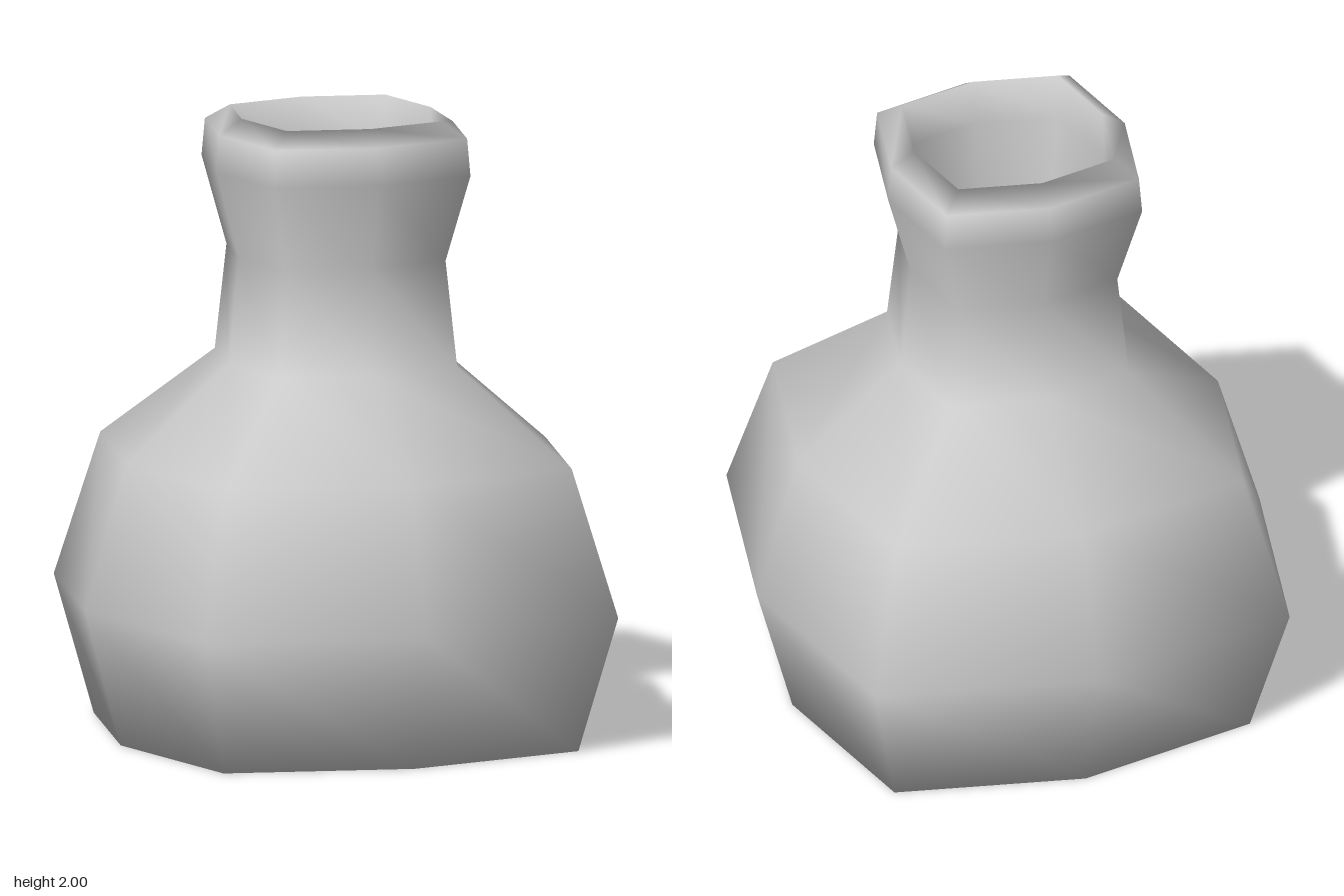
import * as THREE from 'three';
import { mergeVertices } from 'three/addons/utils/BufferGeometryUtils.js';

const SIDES = 8;
const CORNER = 1.165; // how far the diagonal ribs bulge, making a rounded square

// Radius and height: base, outer wall, lip, then down the inner wall to the floor
const PROFILE = [
  [0, 0], [0.73, 0], [0.85, 0.44], [0.71, 0.91], [0.365, 1.21], [0.33, 1.55],
  [0.405, 1.83], [0.395, 1.95], [0.32, 2],
  [0.325, 1.84], [0.27, 1.55], [0.3, 1.18], [0.6, 0.88], [0.7, 0.44], [0.6, 0.08], [0, 0.08],
];

export function createModel() {
  const group = new THREE.Group();
  group.name = 'vase';

  const points = PROFILE.map(([r, y]) => new THREE.Vector2(r, y));
  let geometry = new THREE.LatheGeometry(points, SIDES);

  // Push the diagonal ribs outwards
  const pos = geometry.attributes.position;
  for (let i = 0; i < pos.count; i++) {
    const x = pos.getX(i), z = pos.getZ(i);
    if (Math.abs(x) > 1e-4 && Math.abs(z) > 1e-4) {
      pos.setX(i, x * CORNER);
      pos.setZ(i, z * CORNER);
    }
  }

  // Weld the seam and poles so the shading is smooth all round
  geometry.deleteAttribute('uv');
  geometry.deleteAttribute('normal');
  geometry = mergeVertices(geometry, 1e-4);
  geometry.computeVertexNormals();

  const body = new THREE.Mesh(geometry, new THREE.MeshStandardMaterial({ color: 0xcccccc }));
  body.name = 'vaseBody';
  group.add(body);
  return group;
}
